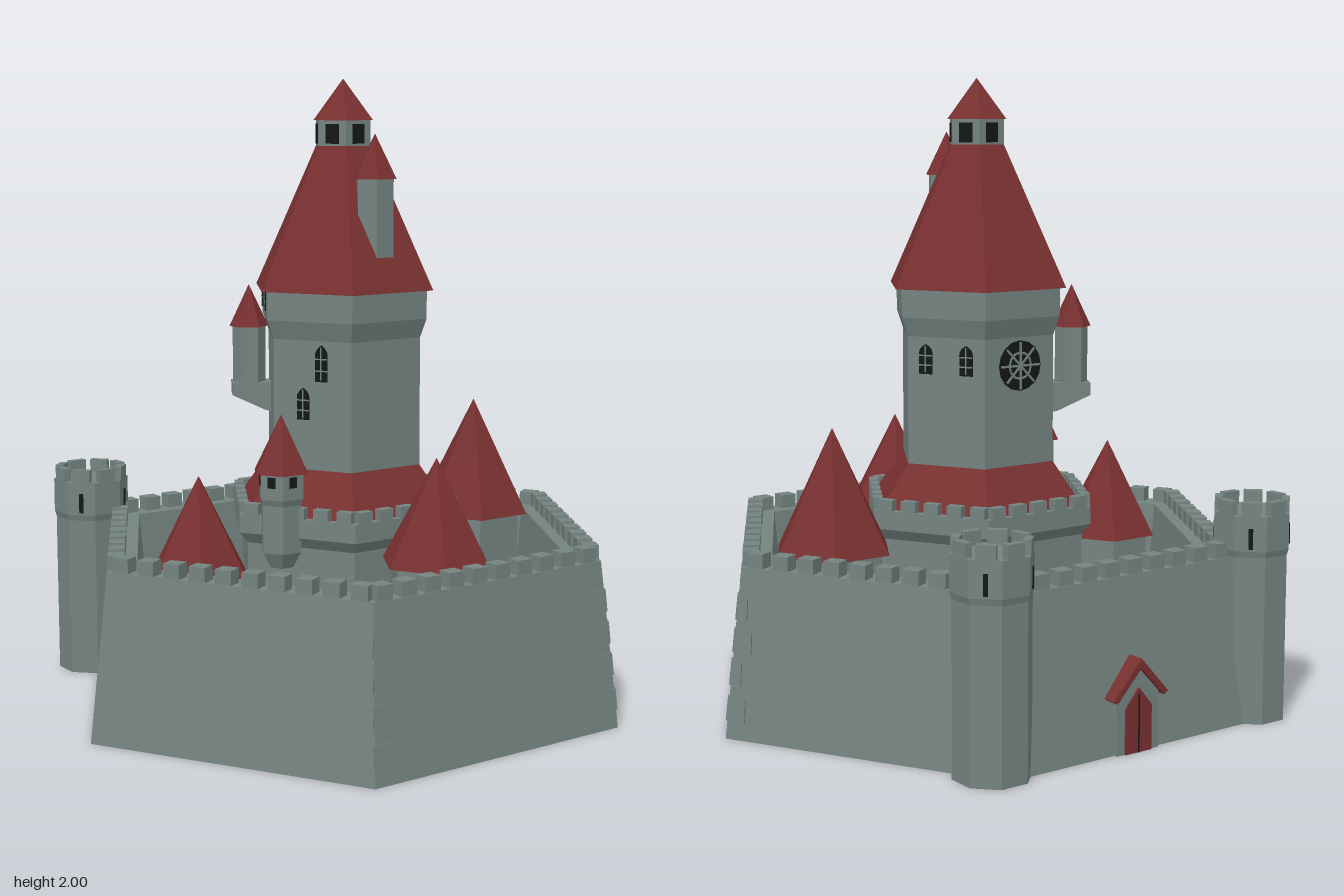
import * as THREE from 'three';

const CX = 0.02; // shared axis of the curtain wall and keep
const stone = new THREE.MeshStandardMaterial({ color: 0x74837f });
stone.name = 'stone';
const tile = new THREE.MeshStandardMaterial({ color: 0x783030 });
tile.name = 'redTile';
const dark = new THREE.MeshStandardMaterial({ color: 0x141717 });
dark.name = 'darkOpening';

const rad = (d) => (d * Math.PI) / 180;

function add(parent, name, geo, mat, x = 0, y = 0, z = 0) {
  const m = new THREE.Mesh(geo, mat);
  m.name = name;
  m.position.set(x, y, z);
  parent.add(m);
  return m;
}

function group(parent, name, x = 0, y = 0, z = 0, turn = 0) {
  const g = new THREE.Group();
  g.name = name;
  g.position.set(x, y, z);
  g.rotation.y = turn;
  parent.add(g);
  return g;
}

// Faceted solid of revolution from [radius, height] pairs, listed bottom to top
function prism(profile, sides = 6, turn = 0) {
  const pts = profile.map(([r, y]) => new THREE.Vector2(r, y));
  const g = new THREE.LatheGeometry(pts, sides, turn).toNonIndexed();
  g.computeVertexNormals();
  return g;
}

// Row of merlons along every side of a polygon
function battlement(parent, { sides, r, thick, y, h, count, fill, turn = 0 }) {
  const apothem = r * Math.cos(Math.PI / sides);
  const len = 2 * r * Math.sin(Math.PI / sides);
  const pitch = len / count;
  const geo = new THREE.BoxGeometry(pitch * fill, h, thick);
  for (let s = 0; s < sides; s++) {
    const side = group(parent, 'battlement', 0, 0, 0, turn + ((s + 0.5) * 2 * Math.PI) / sides);
    for (let i = 0; i < count; i++) {
      add(side, 'merlon', geo, stone, (i + 0.5) * pitch - len / 2, y + h / 2, apothem - thick / 2);
    }
  }
}

// Pointed window plate with stone glazing bars, on a face whose normal is +z
function archWindow(parent, u, y, dist, w, h) {
  const s = new THREE.Shape();
  s.moveTo(-w / 2, -h / 2);
  s.lineTo(w / 2, -h / 2);
  s.lineTo(w / 2, h * 0.2);
  s.quadraticCurveTo(w / 2, h * 0.38, 0, h / 2);
  s.quadraticCurveTo(-w / 2, h * 0.38, -w / 2, h * 0.2);
  const g = group(parent, 'window', u, y, dist);
  add(g, 'windowOpening', new THREE.ExtrudeGeometry(s, { depth: 0.004, bevelEnabled: false, curveSegments: 4 }), dark);
  add(g, 'mullion', new THREE.BoxGeometry(0.004, h * 0.9, 0.004), stone, 0, 0, 0.005);
  for (const t of [-0.2, 0.12]) add(g, 'glazingBar', new THREE.BoxGeometry(w, 0.004, 0.004), stone, 0, h * t, 0.005);
}

function curtainWall(root) {
  const wall = group(root, 'curtainWall', CX);
  add(wall, 'wallRing', prism([[0.716, 0], [0.94, 0], [0.875, 0.525], [0.77, 0.525], [0.716, 0]]), stone);
  battlement(wall, { sides: 6, r: 0.872, thick: 0.05, y: 0.52, h: 0.05, count: 10, fill: 0.62 });
  // Corner stones lying on the sloped faces
  const lean = 0.106;
  for (const v of [1, 2, 3]) {
    for (const dir of [-1, 1]) {
      const face = group(wall, 'cornerStones', 0, 0, 0, rad(60 * (dir < 0 ? v : v - 1) + 30));
      [0.09, 0.2, 0.3, 0.4].forEach((y, i) => {
        const w = (i + (dir > 0 ? 1 : 0)) % 2 ? 0.035 : 0.06;
        const r = 0.94 - 0.124 * y;
        const q = add(face, 'cornerStone', new THREE.BoxGeometry(w, 0.07, 0.01), stone, dir * (r / 2 - w / 2), y, r * 0.866);
        q.rotation.x = -lean;
      });
    }
  }
}

function gate(root) {
  const g = group(root, 'gate', CX, 0, 0, rad(-90));
  const front = (pts, depth) =>
    new THREE.ExtrudeGeometry(new THREE.Shape(pts.map(([x, y]) => new THREE.Vector2(x, y))), { depth, bevelEnabled: false });
  add(g, 'gateFrame', front([[-0.08, 0], [0.08, 0], [0.08, 0.19], [0, 0.27], [-0.08, 0.19]], 0.1), stone, 0, 0, 0.725);
  add(g, 'gateRoof', front([[-0.105, 0.175], [-0.09, 0.165], [0, 0.26], [0.09, 0.165], [0.105, 0.175], [0, 0.29]], 0.115), tile, 0, 0, 0.725);
  add(g, 'door', front([[-0.05, 0], [0.05, 0], [0.05, 0.14], [0, 0.2], [-0.05, 0.14]], 0.005), tile, 0, 0, 0.825);
  add(g, 'doorGap', new THREE.BoxGeometry(0.004, 0.18, 0.003), dark, 0, 0.09, 0.831);
}

function cornerTurret(root, z) {
  const turn = Math.PI / 8;
  const t = group(root, 'cornerTurret', -0.725, 0, z);
  add(t, 'turretShaft', prism([[0, 0], [0.119, 0], [0.119, 0.53], [0.125, 0.55], [0.125, 0.66], [0, 0.66]], 8, turn), stone);
  battlement(t, { sides: 8, r: 0.125, thick: 0.025, y: 0.655, h: 0.048, count: 1, fill: 0.62, turn });
  for (let i = 0; i < 4; i++) {
    const f = group(t, 'slitFace', 0, 0, 0, rad(45 + i * 90));
    add(f, 'arrowSlit', new THREE.BoxGeometry(0.014, 0.065, 0.006), dark, 0, 0.59, 0.1155);
  }
}

// Courtyard tower with a steep pointed roof
function courtTower(root, x, z, r, eave, peak) {
  const t = group(root, 'courtTower', x, 0, z);
  add(t, 'towerShaft', prism([[0, 0], [r * 0.84, 0], [r * 0.84, eave + 0.01]]), stone);
  add(t, 'towerRoof', prism([[0, eave], [r, eave], [0, peak]]), tile);
}

function keep(root) {
  const k = group(root, 'keep', CX);
  add(k, 'keepBase', prism([[0, 0], [0.37, 0], [0.37, 0.55], [0.4, 0.585], [0.4, 0.645], [0.36, 0.645], [0.36, 0.6]]), stone);
  battlement(k, { sides: 6, r: 0.4, thick: 0.03, y: 0.64, h: 0.04, count: 5, fill: 0.62 });
  add(k, 'skirtRoof', prism([[0.37, 0.645], [0.265, 0.785]]), tile);
  add(k, 'keepBody', prism([[0.268, 0.6], [0.268, 1.19], [0.29, 1.25], [0.29, 1.35]]), stone);
  add(k, 'mainRoof', prism([[0, 1.34], [0.312, 1.34], [0.095, 1.79], [0, 1.79]]), tile);
  add(k, 'lantern', prism([[0.095, 1.78], [0.095, 1.875]]), stone);
  add(k, 'lanternRoof', prism([[0, 1.87], [0.104, 1.87], [0, 2]]), tile);
  for (let i = 0; i < 6; i++) {
    const f = group(k, 'lanternFace', 0, 0, 0, rad(30 + i * 60));
    add(f, 'lanternOpening', new THREE.BoxGeometry(0.045, 0.062, 0.006), dark, 0, 1.828, 0.0825);
  }

  // Windows, grouped by the face they sit on
  const frontLeft = group(k, 'frontLeftWindows', 0, 0, 0, rad(30));
  archWindow(frontLeft, 0.032, 1.12, 0.232, 0.042, 0.115);
  archWindow(frontLeft, -0.031, 0.99, 0.232, 0.042, 0.1);
  const frontRight = group(k, 'frontRightWindows', 0, 0, 0, rad(-30));
  for (const u of [0.03, -0.105]) {
    const w = group(frontRight, 'smallWindow', u, 1.3, 0.252);
    add(w, 'windowOpening', new THREE.BoxGeometry(0.048, 0.06, 0.005), dark);
    add(w, 'mullion', new THREE.BoxGeometry(0.005, 0.06, 0.008), stone);
    add(w, 'glazingBar', new THREE.BoxGeometry(0.048, 0.005, 0.008), stone);
  }
  const backRight = group(k, 'backRightWindows', 0, 0, 0, rad(-150));
  for (const u of [-0.07, 0.07]) archWindow(backRight, u, 1.12, 0.232, 0.045, 0.095);

  // Round window with spokes
  const rose = group(group(k, 'roseFace', 0, 0, 0, rad(-90)), 'roseWindow', 0, 1.1, 0.234);
  add(rose, 'roseOpening', new THREE.CylinderGeometry(0.08, 0.08, 0.006, 16).rotateX(Math.PI / 2), dark);
  for (let i = 0; i < 4; i++) {
    add(rose, 'roseSpoke', new THREE.BoxGeometry(0.15, 0.007, 0.004), stone, 0, 0, 0.004).rotation.z = (i * Math.PI) / 4;
  }
  add(rose, 'roseRing', new THREE.TorusGeometry(0.042, 0.004, 4, 12), stone, 0, 0, 0.003);
}

function smallTurrets(root) {
  // Front turret hanging off the keep parapet
  const b = group(root, 'frontTurret', 0.14, 0, 0.322);
  add(b, 'turretShaft', prism([[0, 0.48], [0.04, 0.49], [0.068, 0.54], [0.068, 0.69], [0.076, 0.71], [0.076, 0.8]]), stone);
  add(b, 'turretRoof', prism([[0, 0.79], [0.093, 0.79], [0, 0.97]]), tile);
  for (let i = 0; i < 6; i++) {
    const f = group(b, 'turretFace', 0, 0, 0, rad(30 + i * 60));
    add(f, 'turretWindow', new THREE.BoxGeometry(0.026, 0.034, 0.006), dark, 0, 0.765, 0.065);
  }

  // High turret on a sloped bracket
  const h = group(root, 'bracketTurret', CX, 0, 0, rad(-30));
  const side = new THREE.Shape([[0.2, 0.93], [0.25, 0.94], [0.357, 0.99], [0.357, 1.03], [0.2, 1.03]].map(([x, y]) => new THREE.Vector2(x, y)));
  const bracket = new THREE.ExtrudeGeometry(side, { depth: 0.095, bevelEnabled: false }).rotateY(-Math.PI / 2);
  add(h, 'bracket', bracket, stone, -0.018, 0, 0);
  const t = group(h, 'turret', -0.065, 0, 0.3);
  add(t, 'turretShaft', prism([[0.053, 1], [0.053, 1.22]]), stone);
  add(t, 'turretRoof', prism([[0, 1.21], [0.063, 1.21], [0, 1.345]]), tile);

  // Turret rising out of the main roof
  const r = group(root, 'roofTurret', 0.19, 0, 0);
  add(r, 'turretShaft', prism([[0, 1.43], [0.064, 1.43], [0.064, 1.7]]), stone);
  add(r, 'turretRoof', prism([[0, 1.69], [0.074, 1.69], [0, 1.83]]), tile);
}

export function createModel() {
  const root = new THREE.Group();
  root.name = 'castle';
  curtainWall(root);
  gate(root);
  cornerTurret(root, 0.527);
  cornerTurret(root, -0.478);
  courtTower(root, 0.005, 0.54, 0.17, 0.46, 0.78);
  courtTower(root, 0.51, 0, 0.177, 0.53, 0.855);
  courtTower(root, 0.005, -0.56, 0.196, 0.54, 0.925);
  keep(root);
  smallTurrets(root);
  return root;
}
